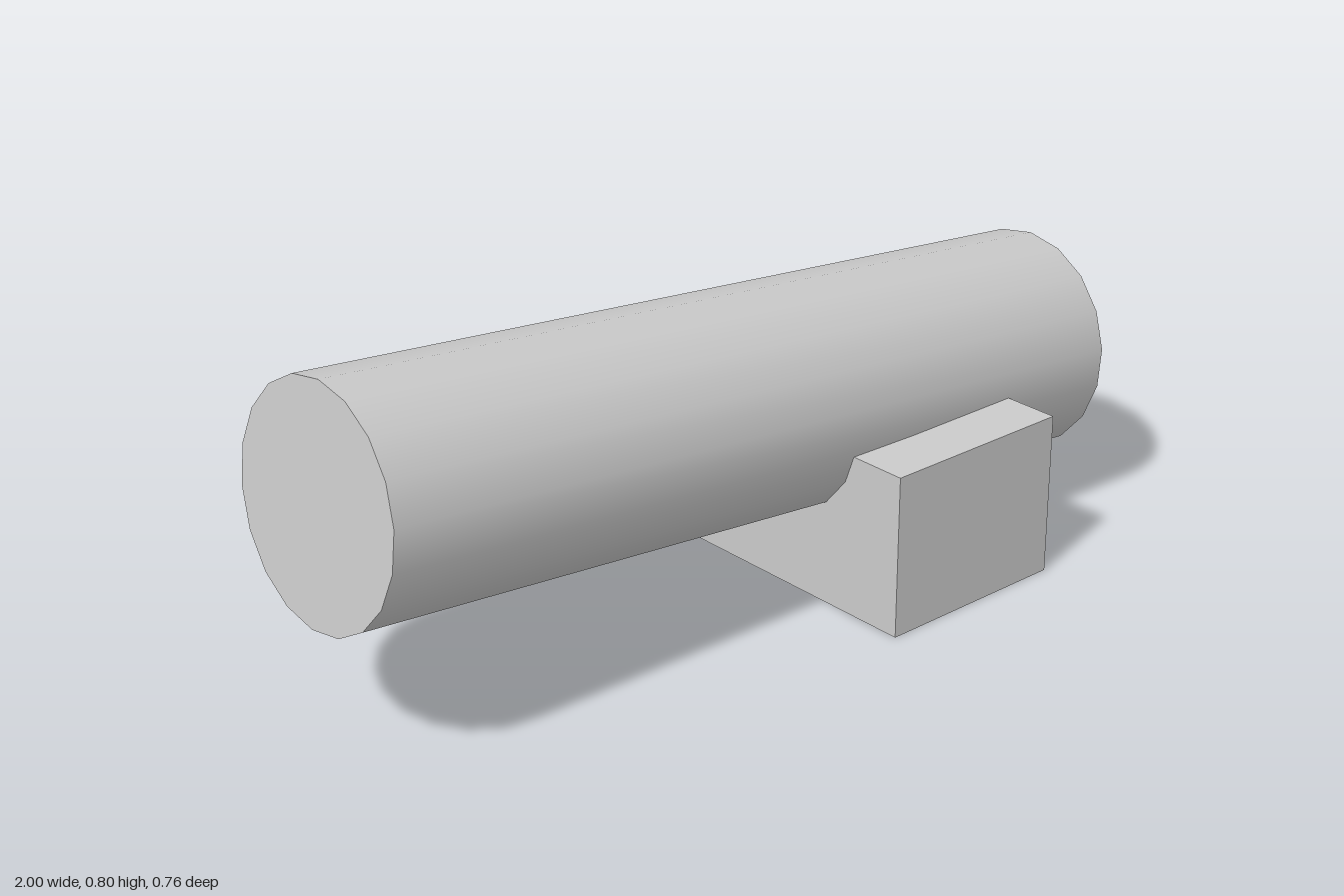
import * as THREE from 'three';

export function createModel() {
  const group = new THREE.Group();
  const material = new THREE.MeshStandardMaterial({ color: 0xcccccc });

  // Tilted 18-sided log, with a corner edge running along its top
  const logGeometry = new THREE.CylinderGeometry(0.254, 0.254, 1.959, 18, 1, false, Math.PI / 2);
  logGeometry.rotateZ(-Math.PI / 2);
  const log = new THREE.Mesh(logGeometry, material);
  log.name = 'log';
  log.position.y = 0.456;
  log.rotation.z = -0.098;
  group.add(log);

  // Block the log rests in
  const block = new THREE.Mesh(new THREE.BoxGeometry(0.47, 0.375, 0.762), material);
  block.name = 'supportBlock';
  block.position.set(0.435, 0.1875, 0);
  group.add(block);

  return group;
}
